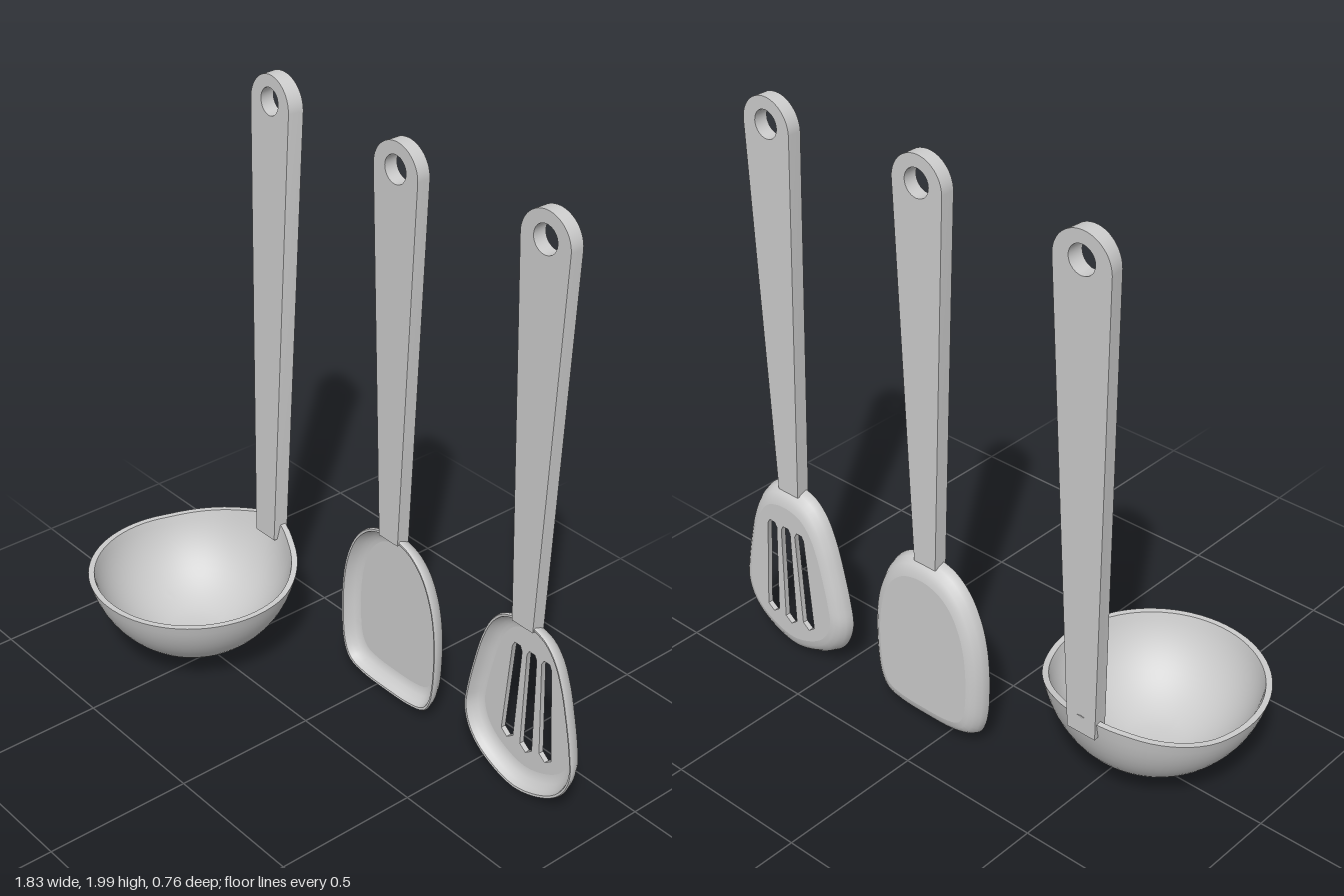
import * as THREE from 'three';
import { toCreasedNormals } from 'three/addons/utils/BufferGeometryUtils.js';

const material = new THREE.MeshStandardMaterial({ color: 0xcccccc });

function part(name, geometry, crease = 0.7) {
  const mesh = new THREE.Mesh(toCreasedNormals(geometry, crease), material);
  mesh.name = name;
  return mesh;
}

// Apply a rule to every vertex of a geometry
function reshape(geometry, rule) {
  const pos = geometry.attributes.position;
  const v = new THREE.Vector3();
  for (let i = 0; i < pos.count; i++) {
    v.fromBufferAttribute(pos, i);
    rule(v);
    pos.setXYZ(i, v.x, v.y, v.z);
  }
  return geometry;
}

// Tapered handle with a round top and a hanging hole; it leans back by `lean`
// per unit of height, and its front face is narrowed by `frontScale`
function makeHandle({ bottom, bottomHalf, topHalf, front, depth, lean, frontScale }) {
  const yc = 2 - topHalf;
  const shape = new THREE.Shape();
  shape.moveTo(-bottomHalf, bottom);
  shape.lineTo(bottomHalf, bottom);
  shape.lineTo(topHalf, yc);
  shape.absarc(0, yc, topHalf, 0, Math.PI, false);
  shape.closePath();
  shape.holes.push(new THREE.Path().absarc(0, 1.913, 0.046, 0, Math.PI * 2, true));
  const geo = new THREE.ExtrudeGeometry(shape, { depth, bevelEnabled: false, curveSegments: 14 });
  reshape(geo, (v) => {
    if (v.z > depth / 2) v.x *= frontScale;
    v.z += front - depth - lean * (v.y - bottom);
  });
  return part('handle', geo);
}

// Closed blade outline (counter-clockwise) from [y, halfWidth] pairs, bottom to top
function bladeOutline(half) {
  const right = half.map(([y, w]) => new THREE.Vector3(w, y, 0));
  const left = half.slice(1, -1).reverse().map(([y, w]) => new THREE.Vector3(-w, y, 0));
  return new THREE.CatmullRomCurve3([...right, ...left], true).getSpacedPoints(96).slice(0, 96);
}

const midY = 0.33;
const scaled = (p, s) => [p.x * s, midY + (p.y - midY) * s];

// Dished rim: [scale, z] sections from the back, over the lip, to the inner floor
const sections = [
  [0.8, -0.352], [0.86, -0.348], [0.92, -0.338], [0.97, -0.318], [1, -0.294],
  [0.99, -0.288], [0.965, -0.289], [0.94, -0.308], [0.89, -0.324], [0.84, -0.332], [0.8, -0.334],
];

function makeBlade(half, slots) {
  const blade = new THREE.Group();
  blade.name = 'blade';
  const outline = bladeOutline(half);
  const n = outline.length;
  const positions = [];
  const index = [];
  sections.forEach(([s, z], i) => {
    outline.forEach((p, j) => {
      positions.push(...scaled(p, s), z);
      if (i === sections.length - 1) return;
      const a = i * n + j;
      const b = i * n + ((j + 1) % n);
      index.push(a, b, b + n, a, b + n, a + n);
    });
  });
  const rim = new THREE.BufferGeometry();
  rim.setAttribute('position', new THREE.Float32BufferAttribute(positions, 3));
  rim.setIndex(index);
  blade.add(part('bladeRim', rim, 0.9));

  // Flat floor, with slots where asked for
  const floor = new THREE.Shape(outline.map((p) => new THREE.Vector2(...scaled(p, 0.8))));
  for (const points of slots) floor.holes.push(new THREE.Path(points));
  const geo = new THREE.ExtrudeGeometry(floor, { depth: 0.018, bevelEnabled: false });
  geo.translate(0, 0, -0.352);
  blade.add(part('bladeFloor', geo));
  return blade;
}

// Six-sided slot, wider at the bottom and leaning to the middle
function makeSlot(side) {
  const xb = side * 0.084;
  const xt = side * 0.063;
  const yb = side ? 0.14 : 0.128;
  return [
    [xb, yb], [xb - 0.026, yb + 0.02], [xt - 0.021, 0.495], [xt - 0.012, 0.512],
    [xt + 0.012, 0.512], [xt + 0.021, 0.495], [xb + 0.026, yb + 0.02],
  ].map(([x, y]) => new THREE.Vector2(x, y));
}

function makeTurner(name, x, half, slots) {
  const tool = new THREE.Group();
  tool.name = name;
  tool.add(makeHandle({
    bottom: 0.635, bottomHalf: 0.044, topHalf: 0.096,
    front: -0.283, depth: 0.047, lean: -0.006, frontScale: 1,
  }));
  tool.add(makeBlade(half, slots));
  tool.position.x = x;
  return tool;
}

function makeLadle() {
  const tool = new THREE.Group();
  tool.name = 'ladle';
  tool.add(makeHandle({
    bottom: 0.335, bottomHalf: 0.053, topHalf: 0.101,
    front: -0.287, depth: 0.052, lean: 0.023, frontScale: 0.92,
  }));

  // Bowl: outer wall up to the rim, then the inner wall back down
  const outer = [[0, 0.05], [0.08, 0.05]];
  const inner = [[0, 0.07], [0.075, 0.07]];
  for (let i = 1; i <= 14; i++) {
    const a = 0.24 + (i / 14) * 1.1;
    const k = Math.sin(a) / Math.sin(1.34);
    const h = (Math.cos(0.24) - Math.cos(a)) / (Math.cos(0.24) - Math.cos(1.34));
    outer.push([0.353 * k, 0.05 + 0.28 * h]);
    inner.push([0.333 * k, 0.07 + 0.26 * h]);
  }
  const profile = [...outer, ...inner.reverse()].map(([r, y]) => new THREE.Vector2(r, y));
  const bowl = reshape(new THREE.LatheGeometry(profile, 72), (v) => {
    // Raise the back of the rim and draw it out to the handle
    const fromBack = Math.abs(Math.atan2(v.x, -v.z));
    const height = Math.max(0, (v.y - 0.05) / 0.28);
    v.y += 0.072 * Math.max(0, 1 - fromBack / 1.2) ** 1.3 * height ** 3;
    v.z -= 0.015 * Math.max(0, 1 - fromBack / 0.4) * height ** 3 - 0.025;
  });
  tool.add(part('bowl', bowl, 0.8));
  tool.position.x = -0.567;
  return tool;
}

export function createModel() {
  const model = new THREE.Group();
  model.name = 'kitchenUtensils';
  model.add(makeLadle());
  model.add(makeTurner('solidTurner', 0.07, [
    [0.035, 0], [0.04, 0.12], [0.06, 0.185], [0.11, 0.215], [0.25, 0.23], [0.4, 0.222],
    [0.5, 0.197], [0.58, 0.155], [0.63, 0.1], [0.65, 0.045], [0.655, 0],
  ], []));
  model.add(makeTurner('slottedTurner', 0.676, [
    [0.01, 0], [0.03, 0.09], [0.075, 0.17], [0.13, 0.215], [0.2, 0.235], [0.28, 0.227],
    [0.4, 0.202], [0.5, 0.175], [0.58, 0.14], [0.63, 0.095], [0.65, 0.045], [0.655, 0],
  ], [-1, 0, 1].map(makeSlot)));
  return model;
}
